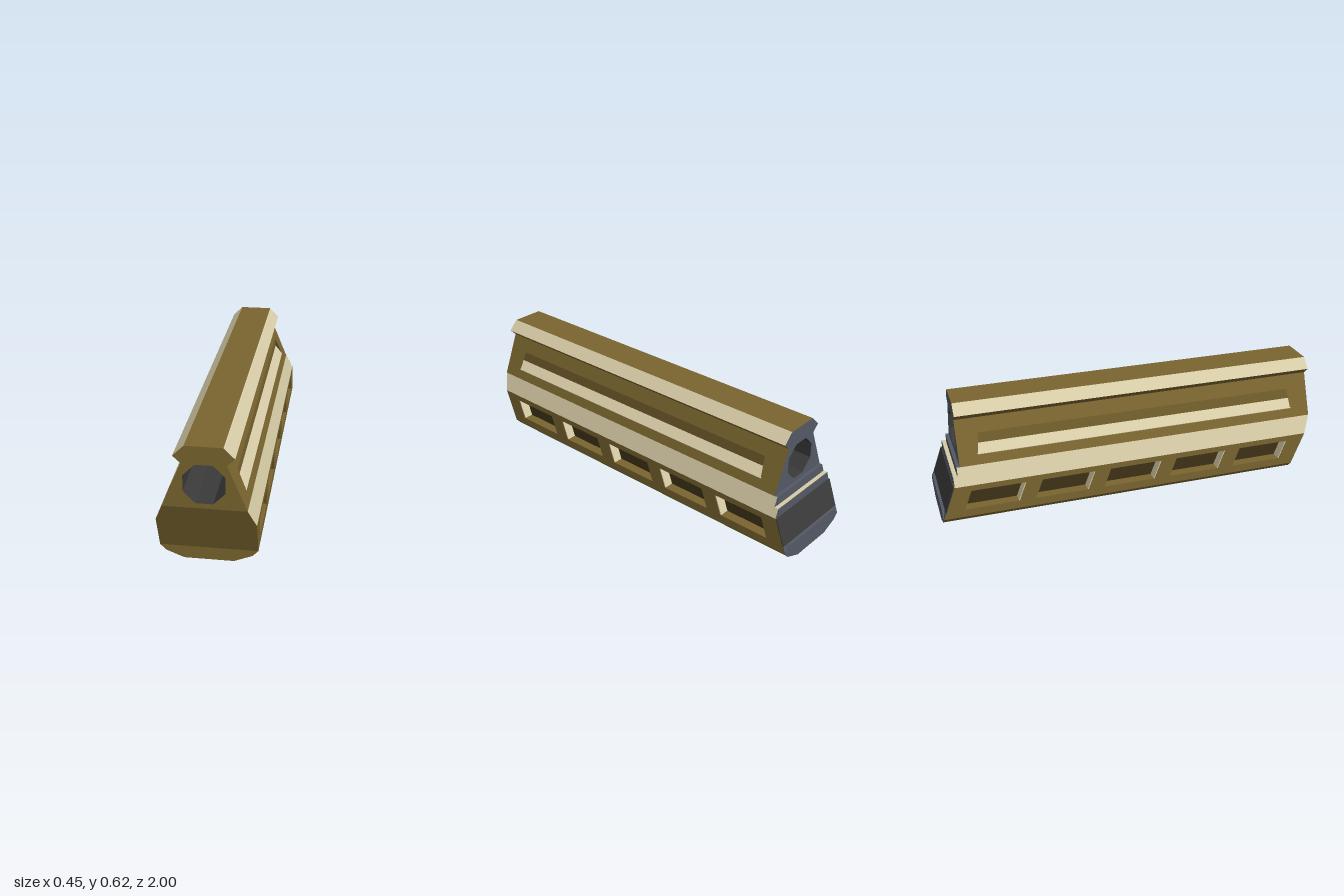
import * as THREE from 'three';

const mat = (name, color) => Object.assign(new THREE.MeshStandardMaterial({ color }), { name });

export function createModel() {
  const group = new THREE.Group();
  const olive = mat('olive', 0x7a652f);
  const sand = mat('sand', 0xd6cba6);
  const slate = mat('slate', 0x535864);
  const charcoal = mat('charcoal', 0x3a3a3a);
  const dark = mat('dark brown', 0x3f3318);

  const toShape = (pts) => new THREE.Shape(pts.map(([x, y]) => new THREE.Vector2(x, y)));
  const toPath = (pts) => new THREE.Path(pts.map(([x, y]) => new THREE.Vector2(x, y)));
  const mirror = (pts) => pts.map(([x, y]) => [-x, y]);
  const sym = (pts) => [...pts, ...mirror(pts).reverse()];

  function add(name, geometry, material) {
    const mesh = new THREE.Mesh(geometry, material);
    mesh.name = name;
    group.add(mesh);
  }

  // Prism along z whose end planes follow back(y) and front(y)
  function section(name, pts, back, front, [side, backMat = side, frontMat = side], hole) {
    const shape = toShape(pts);
    if (hole) shape.holes.push(toPath(hole));
    const g = new THREE.ExtrudeGeometry(shape, { depth: 1, bevelEnabled: false });
    const p = g.attributes.position;
    for (let i = 0; i < p.count; i++) {
      const end = p.getZ(i) < 0.5 ? back : front;
      p.setZ(i, typeof end === 'number' ? end : end(p.getY(i)));
    }
    const lids = g.groups[0].count;
    g.clearGroups();
    g.addGroup(0, lids / 2, 1);
    g.addGroup(lids / 2, lids / 2, 2);
    g.addGroup(lids, p.count - lids, 0);
    g.computeVertexNormals();
    add(name, g, [side, backMat, frontMat]);
  }

  // Plate drawn in (z, y) and extruded between two x positions
  function sidePlate(name, pts, x0, x1, material, holes = []) {
    const shape = toShape(pts);
    holes.forEach((h) => shape.holes.push(toPath(h)));
    const g = new THREE.ExtrudeGeometry(shape, { depth: x1 - x0, bevelEnabled: false });
    g.rotateY(-Math.PI / 2);
    g.translate(x1, 0, 0);
    add(name, g, material);
  }

  const slopeFront = (y) => 0.9 + (y - 0.063) * 0.382;
  const slopeBack = (y) => -0.994 + (y - 0.063) * 0.36;
  const flank = (y) => 0.226 - (y - 0.235) * 0.413;
  const BACK = -0.893;
  const body = [olive, slate, olive];

  // Base with bevelled lower corners
  section('base', sym([[0.115, 0], [0.2, 0.035], [0.226, 0.063]]), -1, 0.9, body);

  // Lower core behind the side windows
  section('lowerCore', sym([[0.175, 0.063], [0.175, 0.235]]), slopeBack, slopeFront, [dark, slate, olive]);

  // Window panels with five slanted openings on each side
  const panel = [0.063, 0.235].map((y) => [slopeFront(y), y])
    .concat([0.235, 0.063].map((y) => [slopeBack(y), y]));
  const windows = [];
  for (let i = 0; i < 5; i++) {
    const z = 0.86 - i * 0.359;
    windows.push([[z, 0.205], [z - 0.275, 0.205], [z - 0.312, 0.105], [z - 0.037, 0.105]]);
  }
  for (const s of [1, -1]) {
    const [a, b] = s > 0 ? [0.174, 0.226] : [-0.226, -0.174];
    sidePlate('windowPanel', panel, a, b, olive, windows);
    // Pale faces at the forward end of each opening
    for (const [top, , , bottom] of windows) {
      const edge = [top, bottom, [bottom[0] - 0.005, bottom[1]], [top[0] - 0.005, top[1]]];
      const [c, d] = s > 0 ? [0.175, 0.225] : [-0.225, -0.175];
      sidePlate('windowEnd', edge, c, d, sand);
    }
  }

  // Sloped rear cover and the lip under it
  const proud = (y) => slopeBack(y) - 0.005;
  section('rearCover', sym([[0.226, 0.1], [0.226, 0.235]]), proud, slopeBack, [charcoal]);
  section('rearLowerCover', sym([[0.226, 0.063], [0.226, 0.1]]), proud, slopeBack, [slate]);
  section('rearLip', sym([[0.226, 0.063], [0.19, 0.1]]), -1, -0.982, [slate]);

  // Pale shoulder bands, stepped at the rear
  section('lowerShoulder', sym([[0.226, 0.235], [flank(0.28), 0.28]]), -0.93, slopeFront, [sand, slate, olive]);
  section('upperShoulder', sym([[flank(0.28), 0.28], [flank(0.325), 0.325]]), -0.908, slopeFront, [sand, slate, olive]);
  section('rearLedge', sym([[0.208, 0.235], [0.208, 0.278]]), -0.932, -0.92, [slate]);
  section('rearUpperLedge', sym([[0.187, 0.281], [0.187, 0.326]]), -0.91, -0.89, [slate]);

  // Upper body with a wedge groove on each flank and an octagonal bore
  const octagon = (k) => sym([[0.04, 0.348], [0.095, 0.405], [0.095, 0.483], [0.04, 0.538]])
    .map(([x, y]) => [x * k, 0.443 + (y - 0.443) * k]);
  const groove = [[flank(0.37), 0.37], [0.13, 0.41], [flank(0.47), 0.47]];
  section('upperBody', sym([[flank(0.325), 0.325], ...groove, [0.1, 0.54]]), BACK, 1, body, octagon(1));
  section('boreLining', octagon(1), BACK, 1, [charcoal, slate, olive], octagon(0.985));

  // Groove ends and pale groove floors
  const frontStop = (y) => 0.92 - Math.abs(y - 0.41) * 0.6;
  const rearStop = (y) => -0.82 + Math.abs(y - 0.41) * 0.6;
  const floor = [[0.17, 0.37], [0.13, 0.41], [0.13, 0.414], [0.171, 0.373]];
  for (const flip of [(p) => p, mirror]) {
    section('grooveFrontEnd', flip(groove), frontStop, 1, [olive]);
    section('grooveRearEnd', flip(groove), BACK, rearStop, body);
    section('grooveFloor', flip(floor), rearStop, frontStop, [sand]);
  }

  // Top rail: undercut, flat crown and pale chamfers
  section('railUndercut', sym([[0.1, 0.54], [0.135, 0.573]]), BACK, 1, body);
  section('railCrown', sym([[0.085, 0.573], [0.085, 0.623]]), BACK, 1, body);
  const chamfer = [[0.085, 0.573], [0.135, 0.573], [0.085, 0.623]];
  for (const pts of [chamfer, mirror(chamfer)]) {
    section('railChamfer', pts, BACK, 1, [sand, slate, olive]);
  }

  return group;
}
